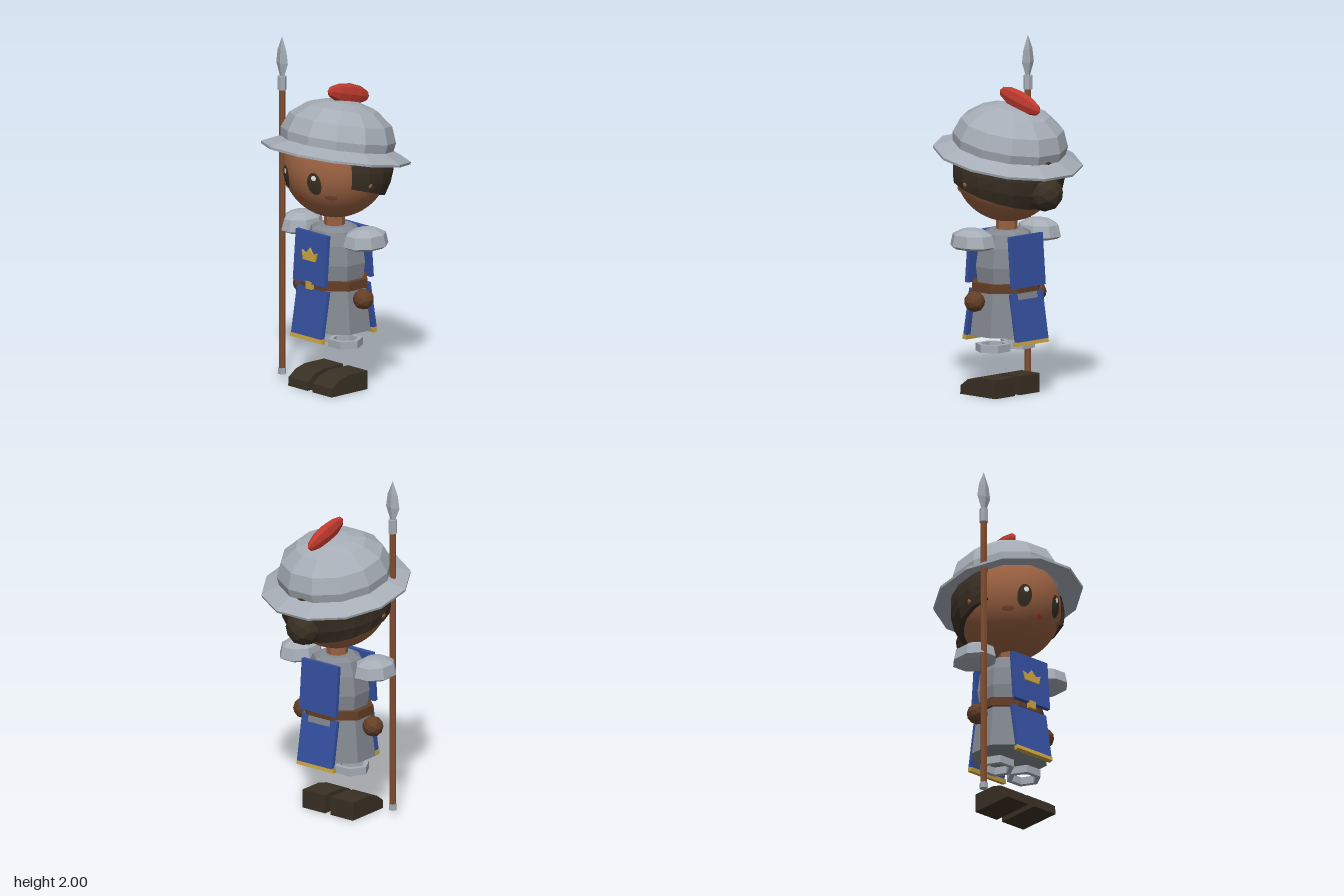
import * as THREE from 'three';

const mat = (name, color) => new THREE.MeshStandardMaterial({ name, color, side: THREE.DoubleSide });

export function createModel() {
  const steel = mat('steel', 0xa6adb6), mail = mat('mail', 0x848991), skin = mat('skin', 0x9a6141),
    dark = mat('dark brown', 0x3a3024), leather = mat('leather', 0x643f27), wood = mat('wood', 0x804e2f),
    blue = mat('blue cloth', 0x3450a0), gold = mat('gold', 0xcba440), red = mat('red', 0xc03a2e),
    white = mat('white', 0xe8e8e8);
  const model = new THREE.Group();

  const add = (name, geo, material, x = 0, y = 0, z = 0, parent = model) => {
    const mesh = new THREE.Mesh(geo, material);
    mesh.name = name;
    mesh.position.set(x, y, z);
    parent.add(mesh);
    return mesh;
  };
  // Facet a geometry so each face is flat
  const flat = (geo) => {
    const g = geo.index ? geo.toNonIndexed() : geo;
    g.computeVertexNormals();
    return g;
  };
  // Faceted turned shape with a flat side to the front; radii measured to the flats
  const turned = (pts, n, depth = 1) => {
    const k = 1 / Math.cos(Math.PI / n);
    const geo = new THREE.LatheGeometry(pts.map(([r, y]) => new THREE.Vector2(r * k, y)), n, Math.PI / n);
    return flat(geo.scale(1, 1, depth));
  };
  const box = (w, h, d) => new THREE.BoxGeometry(w, h, d);

  // Head
  const headY = 1.29, headR = 0.3;
  add('head', new THREE.SphereGeometry(headR, 40, 28), skin, 0, headY, 0);
  add('neck', flat(new THREE.CylinderGeometry(0.06, 0.06, 0.13, 8)), skin, 0, 0.975, 0.01);

  // Face details: thin elliptical patches laid over the head
  const facePatch = (name, material, x, y, w, h, lift) => {
    const geo = new THREE.RingGeometry(0.001, 1, 20, 3).scale(w, h, 1).translate(x, y - headY, 0);
    const p = geo.attributes.position, r = headR + lift;
    for (let i = 0; i < p.count; i++) p.setZ(i, Math.sqrt(r * r - p.getX(i) ** 2 - p.getY(i) ** 2));
    geo.computeVertexNormals();
    add(name, geo, material, 0, headY, 0);
  };
  for (const s of [-1, 1]) {
    facePatch('eye', dark, s * 0.115, 1.245, 0.04, 0.067, 0.004);
    facePatch('eyeHighlight', white, s * 0.115 + 0.003, 1.28, 0.014, 0.016, 0.007);
    facePatch('cheek', wood, s * 0.183, 1.165, 0.027, 0.015, 0.006);
    add('ear', new THREE.SphereGeometry(0.02, 10, 8), skin, s * 0.305, 1.23, 0.03);
  }
  facePatch('mouth', red, 0, 1.145, 0.022, 0.012, 0.006);

  // Hair: shell round the sides and back with a sloping lower edge turned inward
  const hairGeo = new THREE.PlaneGeometry(1, 1, 12, 5);
  const hp = hairGeo.attributes.position;
  for (let i = 0; i < hp.count; i++) {
    const a = THREE.MathUtils.degToRad(180 + hp.getX(i) * 2 * 117);
    const v = hp.getY(i) + 0.5;
    const low = 1.18 + 0.3 * 0.32 * Math.cos(a);
    const y = low + (1.41 - low) * Math.max(0, (v - 0.2) / 0.8);
    const r = v < 0.1 ? 0.2 : Math.sqrt(0.328 ** 2 - (y - headY) ** 2);
    hp.setXYZ(i, Math.sin(a) * r, y, Math.cos(a) * r);
  }
  add('hair', flat(hairGeo), dark);
  add('hairBun', flat(new THREE.IcosahedronGeometry(0.105, 1)), dark, 0, 1.18, -0.29);

  // Helmet, tipped back
  const helmet = new THREE.Group();
  helmet.name = 'helmet';
  helmet.position.y = 1.36;
  helmet.rotation.x = -0.19;
  model.add(helmet);
  add('brim', turned([[0.28, 0.035], [0.41, -0.01], [0.412, 0.004], [0.31, 0.05]], 12), steel, 0, 0, 0, helmet);
  add('dome', turned([[0.31, 0.045], [0.317, 0.1], [0.283, 0.19], [0.195, 0.26], [0.1, 0.291], [0, 0.3]], 12),
    steel, 0, 0, 0, helmet);
  const plume = add('plume', flat(new THREE.SphereGeometry(1, 8, 6).rotateX(Math.PI / 2)), red, 0, 1.683, -0.095);
  plume.scale.set(0.034, 0.06, 0.165);
  plume.rotation.x = -0.27;

  // Body
  add('torso', turned([[0, 0.945], [0.1, 0.945], [0.135, 0.925], [0.165, 0.85], [0.18, 0.74], [0.165, 0.63]], 8, 0.9),
    mail, 0, 0, 0.01);
  add('skirt', turned([[0, 0.35], [0.212, 0.35], [0.18, 0.62], [0, 0.62]], 8, 0.9), mail, 0, 0, 0.01);
  add('belt', turned([[0.16, 0.6], [0.2, 0.6], [0.2, 0.652], [0.16, 0.652]], 8, 0.86), leather, 0, 0, 0.015);
  add('buckle', box(0.05, 0.045, 0.02), gold, 0, 0.622, 0.202);

  // Tabard: two hanging panels and a trim on the front and back
  for (const [side, zTop, zLow, zTrim] of [['front', 0.187, 0.194, 0.217], ['back', -0.147, -0.163, -0.18]]) {
    const s = Math.sign(zTop);
    add(side + 'UpperPanel', box(0.26, 0.295, 0.025), blue, 0, 0.778, zTop).rotation.x = -0.08 * s;
    add(side + 'LowerPanel', box(0.25, 0.275, 0.024), blue, 0, 0.463, zLow).rotation.x = -0.17 * s;
    add(side + 'Trim', box(0.26, 0.026, 0.028), gold, 0, 0.317, zTrim).rotation.x = -0.17 * s;
  }
  const crown = new THREE.Shape([[-0.05, -0.038], [0.05, -0.038], [0.064, 0.015], [0.03, 0], [0, 0.036],
    [-0.03, 0], [-0.064, 0.015]].map(([x, y]) => new THREE.Vector2(x, y)));
  add('crownEmblem', new THREE.ExtrudeGeometry(crown, { depth: 0.009, bevelEnabled: false }), gold, 0, 0.802, 0.197)
    .rotation.x = -0.08;

  // Shoulders, hands, shin rings and boots on both sides
  const boot = new THREE.Shape([[-0.075, 0], [0.2, 0], [0.196, 0.05], [0.14, 0.09], [0.07, 0.108], [-0.075, 0.108]]
    .map(([z, y]) => new THREE.Vector2(-z, y)));
  for (const s of [-1, 1]) {
    add('shoulderPad', turned([[0, -0.055], [0.085, -0.055], [0.106, -0.04], [0.094, 0.025], [0.05, 0.055], [0, 0.062]],
      8, 1.25), steel, s * 0.267, 0.915, 0.018);
    add('hand', flat(new THREE.IcosahedronGeometry(0.06, 1)), leather, s * 0.248, 0.555, 0.02);
    const ring = [[0.062, -0.022], [0.087, -0.022], [0.087, 0.022], [0.062, 0.022], [0.062, -0.022]];
    add('shinRing', turned(ring, 6), steel, s * 0.1, 0.278, 0.02);
    add('boot', new THREE.ExtrudeGeometry(boot, { depth: 0.16, bevelEnabled: false }).translate(0, 0, -0.08),
      dark, s * 0.1, 0, 0).rotation.y = Math.PI / 2;
  }

  // Spear
  const spear = new THREE.Group();
  spear.name = 'spear';
  spear.position.set(-0.3, 0, 0.135);
  model.add(spear);
  const rod = (name, r, y0, y1, m) =>
    add(name, flat(new THREE.CylinderGeometry(r, r, y1 - y0, 6).rotateY(Math.PI / 6)), m, 0, (y0 + y1) / 2, 0, spear);
  rod('shaft', 0.019, 0.05, 1.72, wood);
  rod('spearFoot', 0.024, 0.035, 0.07, steel);
  rod('spearCollar', 0.026, 1.69, 1.77, steel);
  const blade = [[0, 1.765], [0.018, 1.77], [0.048, 1.845], [0.036, 1.92], [0, 2]];
  add('spearBlade', flat(new THREE.LatheGeometry(blade.map(([r, y]) => new THREE.Vector2(r, y)), 4).scale(1, 1, 0.36)),
    steel, 0, 0, 0, spear);

  return model;
}
